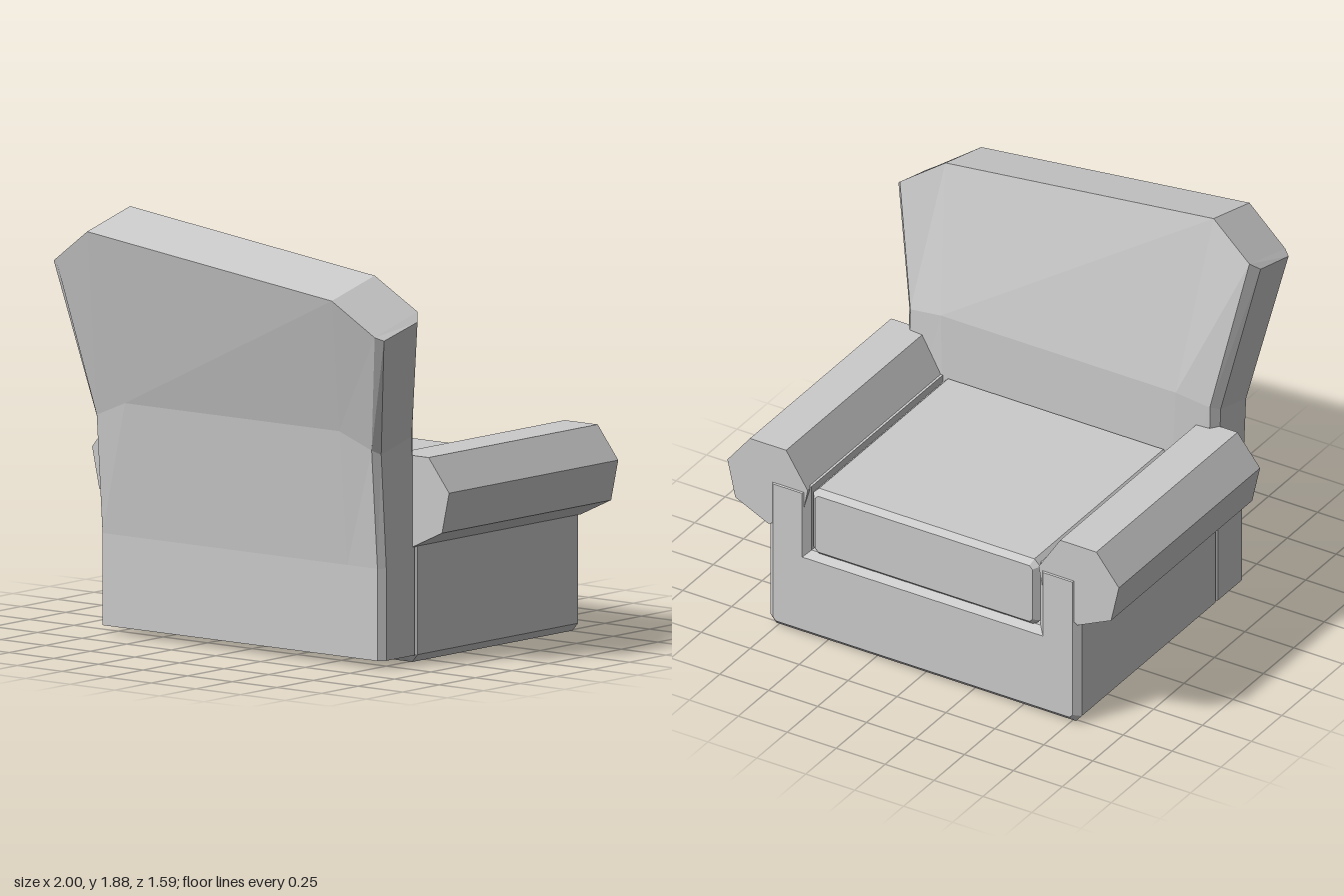
import * as THREE from 'three';

const material = new THREE.MeshStandardMaterial({ color: 0xcccccc, flatShading: true });

function addMesh(group, name, geometry) {
  const mesh = new THREE.Mesh(geometry, material);
  mesh.name = name;
  group.add(mesh);
  return mesh;
}

// Outline in x/y extruded from z0 to z1, with chamfered ends
function prism(points, z0, z1, bevel = 0) {
  const shape = new THREE.Shape(points.map(([x, y]) => new THREE.Vector2(x, y)));
  const geometry = new THREE.ExtrudeGeometry(shape, {
    depth: z1 - z0 - 2 * bevel,
    bevelEnabled: bevel > 0,
    bevelThickness: bevel,
    bevelSize: bevel,
    bevelOffset: -bevel,
    bevelSegments: 1,
  });
  return geometry.translate(0, 0, z0 + bevel);
}

const mirrorOutline = (half) => [...half, ...half.slice().reverse().map(([x, y]) => [-x, y])];

// Backrest lofted through rings; each half ring runs from rear centre round the side to the front
function backrestGeometry() {
  const low = (y) => [
    [0.6, y, 0.585], [0.77, y, 0.585], [0.795, y, 0.555],
    [0.795, y, 0.36], [0.77, y, 0.33], [0.58, y, 0.31],
  ];
  const stations = [
    { half: low(0.035), lift: 0 },
    { half: low(0.44), lift: 0 },
    { half: [
      [0.6, 1.035, 0.64], [0.77, 0.965, 0.625], [0.795, 0.945, 0.59],
      [0.795, 1.0, 0.38], [0.765, 1.02, 0.34], [0.6, 1.05, 0.325],
    ], lift: 0 },
    // the top slants: its right end sits higher
    { half: [
      [0.685, 1.635, 0.795], [0.893, 1.49, 0.755], [0.925, 1.475, 0.73],
      [0.925, 1.53, 0.5], [0.893, 1.567, 0.46], [0.685, 1.71, 0.5],
    ], lift: 0.165 },
  ];
  const rings = stations.map(({ half, lift }) => [
    ...half,
    ...half.slice().reverse().map(([x, y, z]) => [-x, y + lift, z]),
  ]);
  const positions = [];
  const quad = (a, b, c, d) => positions.push(...a, ...b, ...c, ...a, ...c, ...d);
  for (let s = 0; s < rings.length - 1; s++) {
    const a = rings[s], b = rings[s + 1];
    for (let i = 0; i < a.length; i++) {
      const j = (i + 1) % a.length;
      quad(a[i], a[j], b[j], b[i]);
    }
  }
  const bottom = rings[0], top = rings[rings.length - 1];
  const caps = [[0, 5, 6, 11], [0, 1, 4, 5], [1, 2, 3, 4], [6, 7, 10, 11], [7, 8, 9, 10]];
  for (const [i, j, k, l] of caps) {
    quad(top[i], top[j], top[k], top[l]);
    quad(bottom[l], bottom[k], bottom[j], bottom[i]);
  }
  const geometry = new THREE.BufferGeometry();
  geometry.setAttribute('position', new THREE.Float32BufferAttribute(positions, 3));
  geometry.computeVertexNormals();
  return geometry;
}

export function createModel() {
  const chair = new THREE.Group();
  chair.name = 'armchair';

  // U-shaped body: floor and two side walls
  const body = mirrorOutline([[0.765, 0], [0.795, 0.035], [0.795, 0.755], [0.585, 0.755], [0.585, 0.43]]);
  addMesh(chair, 'base', prism(body, -0.79, 0.37, 0.03));

  // Seat cushion between the walls
  const cushion = mirrorOutline([[0.55, 0.42], [0.58, 0.45], [0.58, 0.725], [0.55, 0.755]]);
  addMesh(chair, 'seatCushion', prism(cushion, -0.78, 0.33, 0.025));

  // Faceted arm rolls, mirrored by their outline
  const arm = [
    [1.0, 0.77], [0.885, 0.915], [0.7, 0.915], [0.59, 0.745],
    [0.62, 0.6], [0.79, 0.51], [0.96, 0.59],
  ];
  for (const [name, side] of [['leftArm', 1], ['rightArm', -1]]) {
    addMesh(chair, name, prism(arm.map(([x, y]) => [side * x, y]), -0.785, 0.375));
  }

  addMesh(chair, 'backrest', backrestGeometry());
  return chair;
}
